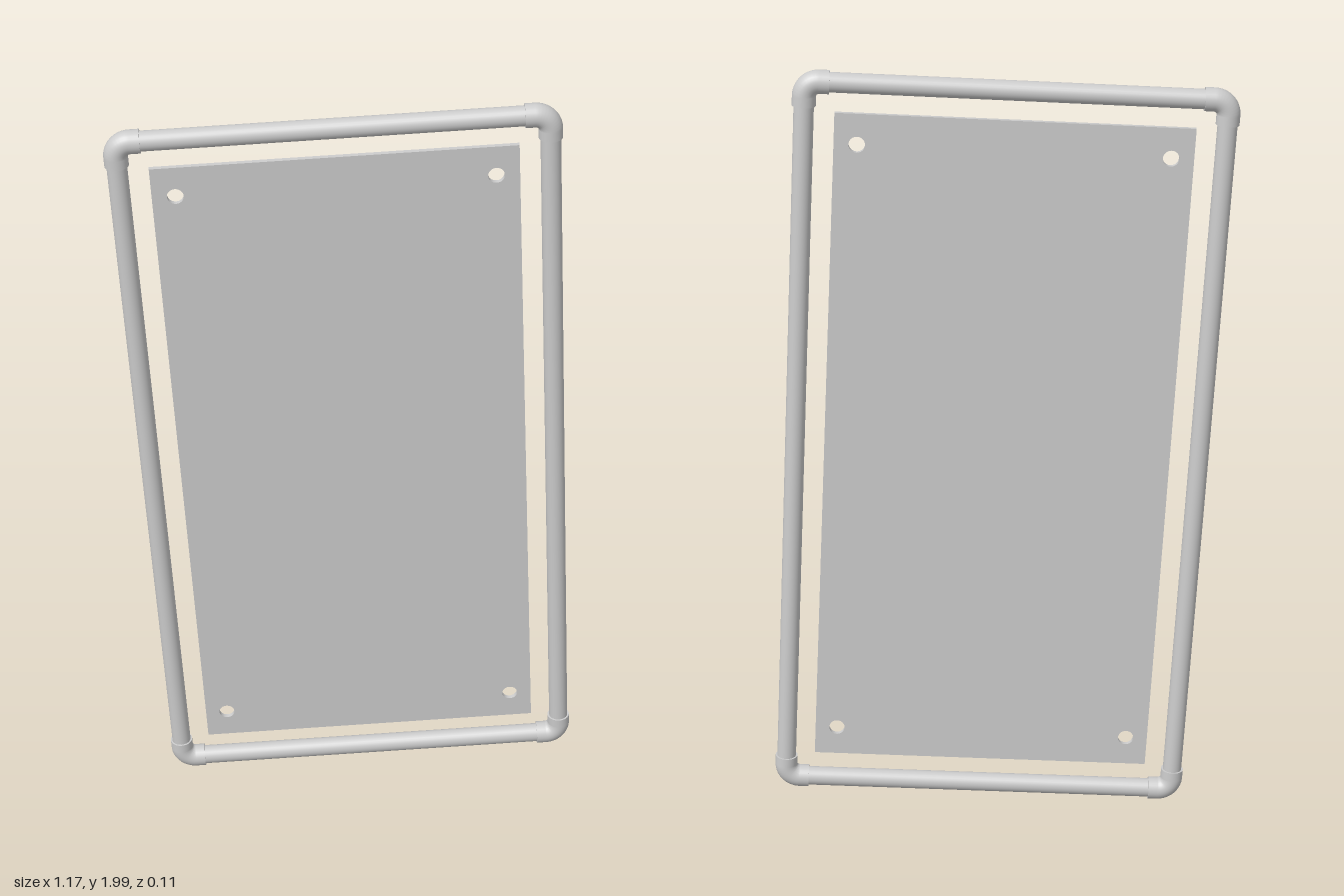
import * as THREE from 'three';

const W = 0.51, H = 0.945;        // half size of the tube frame (centre lines)
const TUBE_R = 0.0245, ELBOW_R = 0.029;
const BEND = 0.036, REACH = 0.06; // elbow bend radius and arm length

const material = new THREE.MeshStandardMaterial({ color: 0xcccccc });

function addMesh(parent, name, geometry) {
  const mesh = new THREE.Mesh(geometry, material);
  mesh.name = name;
  parent.add(mesh);
  return mesh;
}

// Elbow whose corner is at the origin, with arms along +x and +y
function makeElbow(name) {
  const elbow = new THREE.Group();
  elbow.name = name;
  const path = new THREE.CurvePath();
  const v = (x, y) => new THREE.Vector3(x, y, 0);
  const arc = [];
  for (let i = 0; i <= 12; i++) {
    const a = Math.PI + (i / 12) * Math.PI / 2;
    arc.push(v(BEND + BEND * Math.cos(a), BEND + BEND * Math.sin(a)));
  }
  const points = [v(0, REACH), ...arc, v(REACH, 0)];
  for (let i = 1; i < points.length; i++) path.add(new THREE.LineCurve3(points[i - 1], points[i]));
  addMesh(elbow, 'elbowBody', new THREE.TubeGeometry(path, 40, ELBOW_R, 28, false));
  // flat end rims
  const rim = new THREE.CircleGeometry(ELBOW_R, 28);
  const rimX = addMesh(elbow, 'elbowRimSide', rim);
  rimX.position.x = REACH;
  rimX.rotation.y = Math.PI / 2;
  const rimY = addMesh(elbow, 'elbowRimUpright', rim);
  rimY.position.y = REACH;
  rimY.rotation.x = -Math.PI / 2;
  return elbow;
}

export function createModel() {
  const model = new THREE.Group();
  const sign = new THREE.Group();
  sign.name = 'framedPanel';
  // leans slightly forward and sideways
  sign.rotation.set(0.0254, 0, 0.0523, 'ZYX');
  sign.position.y = 1;
  model.add(sign);

  // Straight tubes, ending inside the elbows
  const inset = 0.045;
  const upright = new THREE.CylinderGeometry(TUBE_R, TUBE_R, 2 * (H - inset), 28);
  const rail = new THREE.CylinderGeometry(TUBE_R, TUBE_R, 2 * (W - inset), 28).rotateZ(Math.PI / 2);
  addMesh(sign, 'leftTube', upright).position.x = W;
  addMesh(sign, 'rightTube', upright).position.x = -W;
  addMesh(sign, 'topTube', rail).position.y = H;
  addMesh(sign, 'bottomTube', rail).position.y = -H;

  // Corner elbows, each turned a quarter further
  const corners = [
    ['bottomRightElbow', -W, -H], ['bottomLeftElbow', W, -H],
    ['topLeftElbow', W, H], ['topRightElbow', -W, H],
  ];
  corners.forEach(([name, x, y], i) => {
    const elbow = makeElbow(name);
    elbow.position.set(x, y, 0);
    elbow.rotation.z = i * Math.PI / 2;
    sign.add(elbow);
  });

  // Thin panel with a hole near each corner
  const pw = 0.436, ph = 0.8715, thickness = 0.012;
  const shape = new THREE.Shape([
    new THREE.Vector2(-pw, -ph), new THREE.Vector2(pw, -ph),
    new THREE.Vector2(pw, ph), new THREE.Vector2(-pw, ph),
  ]);
  for (const sx of [-1, 1]) for (const sy of [-1, 1]) {
    const hole = new THREE.Path();
    hole.absarc(sx * (pw - 0.056), sy * (ph - 0.077), 0.02, 0, Math.PI * 2, true);
    shape.holes.push(hole);
  }
  const panel = new THREE.ExtrudeGeometry(shape, { depth: thickness, bevelEnabled: false, curveSegments: 24 });
  panel.translate(0, 0, -thickness / 2);
  addMesh(sign, 'panel', panel);

  return model;
}
